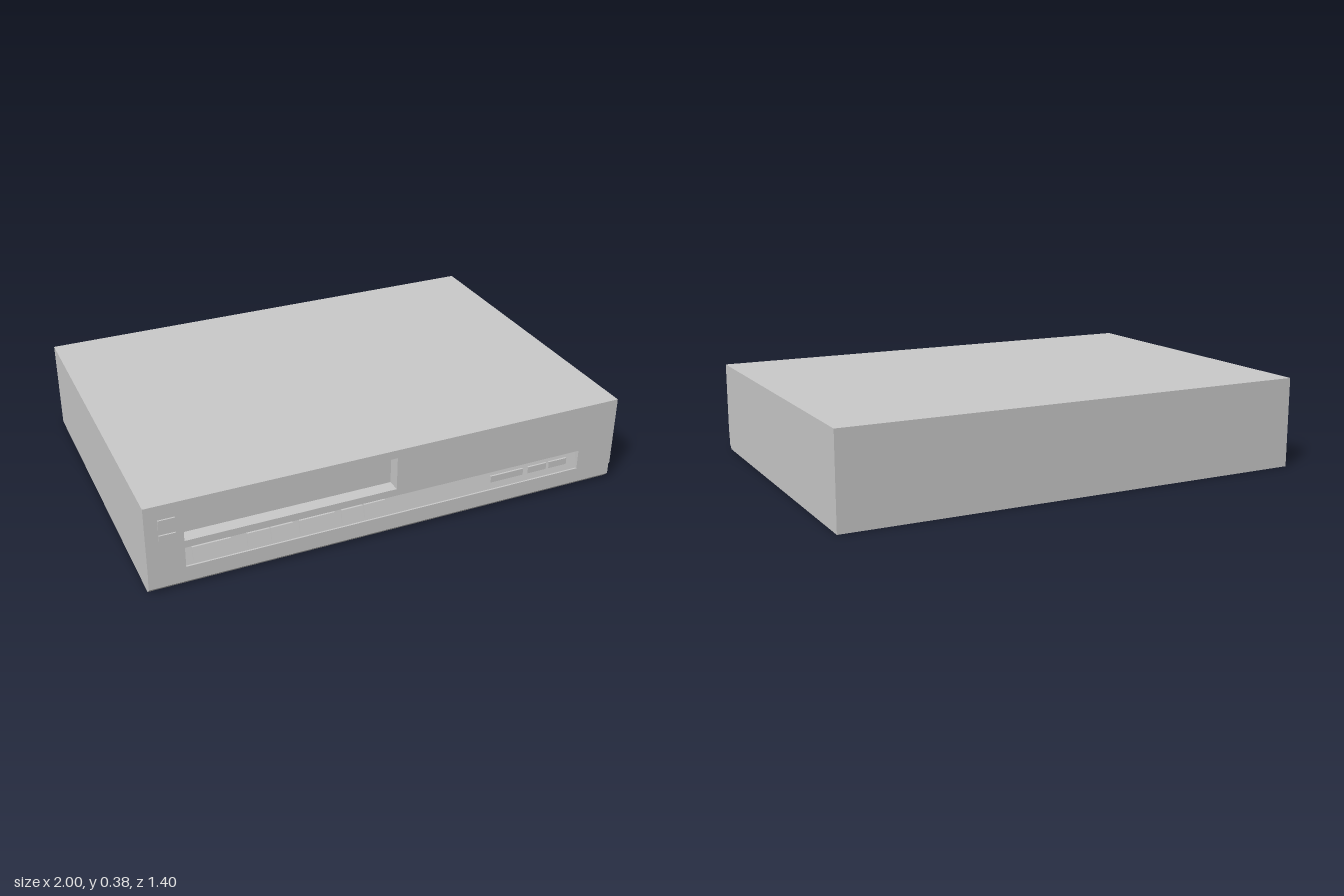
import * as THREE from 'three';

const FRONT = 0.697;
const material = new THREE.MeshStandardMaterial({ color: 0xcccccc, flatShading: true });

// Sweeps a [z, y] outline along x and caps the ends. Counter-clockwise outlines
// make solids, clockwise ones make recess linings; side number `skip` stays open.
function sweep(name, outline, x0, x1, skip = -1) {
  const pos = [];
  const tri = (...corners) => corners.forEach(([x, [z, y]]) => pos.push(x, y, z));
  outline.forEach((p, i) => {
    const q = outline[(i + 1) % outline.length];
    if (i !== skip) {
      tri([x0, p], [x1, p], [x1, q]);
      tri([x0, p], [x1, q], [x0, q]);
    }
    if (i > 0 && i < outline.length - 1) {
      tri([x0, outline[0]], [x0, p], [x0, q]);
      tri([x1, outline[0]], [x1, q], [x1, p]);
    }
  });
  const geometry = new THREE.BufferGeometry();
  geometry.setAttribute('position', new THREE.Float32BufferAttribute(pos, 3));
  geometry.computeVertexNormals();
  const mesh = new THREE.Mesh(geometry, material);
  mesh.name = name;
  return mesh;
}

function rectangle(PathType, x0, y0, x1, y1) {
  return new PathType([[x0, y0], [x1, y0], [x1, y1], [x0, y1]].map(([x, y]) => new THREE.Vector2(x, y)));
}

export function createModel() {
  const model = new THREE.Group();
  model.name = 'videoRecorder';

  // Casing with a chamfered lower front edge, open where the front panel sits
  model.add(sweep('casing', [
    [-0.7, 0.38], [-0.7, 0], [0.67, 0], [0.692, 0.022], [0.692, 0.073], [FRONT, 0.075], [FRONT, 0.38],
  ], -1, 1, 5));

  // Front panel with openings for the tape slot and the control strip
  const slot = { x0: -0.855, x1: 0, y0: 0.205, y1: 0.345, back: FRONT - 0.055 };
  const strip = { x0: -0.855, x1: 0.835, y0: 0.09, y1: 0.175 };
  const panelShape = rectangle(THREE.Shape, -1, 0.075, 1, 0.38);
  for (const r of [slot, strip]) panelShape.holes.push(rectangle(THREE.Path, r.x0, r.y0, r.x1, r.y1));
  const panel = new THREE.Mesh(new THREE.ShapeGeometry(panelShape), material);
  panel.name = 'frontPanel';
  panel.position.z = FRONT;
  model.add(panel);

  // Tape slot recess
  model.add(sweep('tapeSlot', [
    [FRONT, slot.y0], [slot.back, slot.y0], [slot.back, slot.y1], [FRONT, slot.y1],
  ], slot.x0, slot.x1, 3));

  // Control strip: a shallow recess whose face leans back
  const stripZ = (y) => 0.69 - (y - strip.y0) * 0.21;
  model.add(sweep('controlStrip', [
    [FRONT, strip.y0], [stripZ(strip.y0), strip.y0], [stripZ(strip.y1), strip.y1], [FRONT, strip.y1],
  ], strip.x0, strip.x1, 3));

  // Transport keys, parallel to the leaning strip
  const keys = new THREE.Group();
  keys.name = 'transportKeys';
  const [k0, k1, lift] = [0.105, 0.16, 0.009];
  for (const [x0, x1] of [[-0.825, -0.675], [-0.612, -0.522], [-0.517, -0.427],
    [-0.402, -0.255], [-0.228, -0.14], [-0.133, -0.043]]) {
    keys.add(sweep('transportKey', [
      [stripZ(k0) - 0.004, k0], [stripZ(k0) + lift, k0], [stripZ(k1) + lift, k1], [stripZ(k1) - 0.004, k1],
    ], x0, x1));
  }
  model.add(keys);

  // Small wedge-shaped keys that run out into the strip at the bottom
  const wedges = new THREE.Group();
  wedges.name = 'settingKeys';
  const [w0, w1] = [0.117, 0.146];
  for (const [x0, x1] of [[0.43, 0.58], [0.603, 0.69], [0.702, 0.787]]) {
    wedges.add(sweep('settingKey', [
      [stripZ(w0) - 0.004, w0], [stripZ(w0) + 0.001, w0], [stripZ(w0) + 0.001, w1], [stripZ(w1) - 0.004, w1],
    ], x0, x1));
  }
  model.add(wedges);

  // Power and eject buttons beside the tape slot
  for (const [name, y0, y1] of [['powerButton', 0.28, 0.32], ['ejectButton', 0.232, 0.255]]) {
    model.add(sweep(name, [[0.69, y0], [0.703, y0], [0.703, y1], [0.69, y1]], -0.95, -0.885));
  }

  return model;
}
